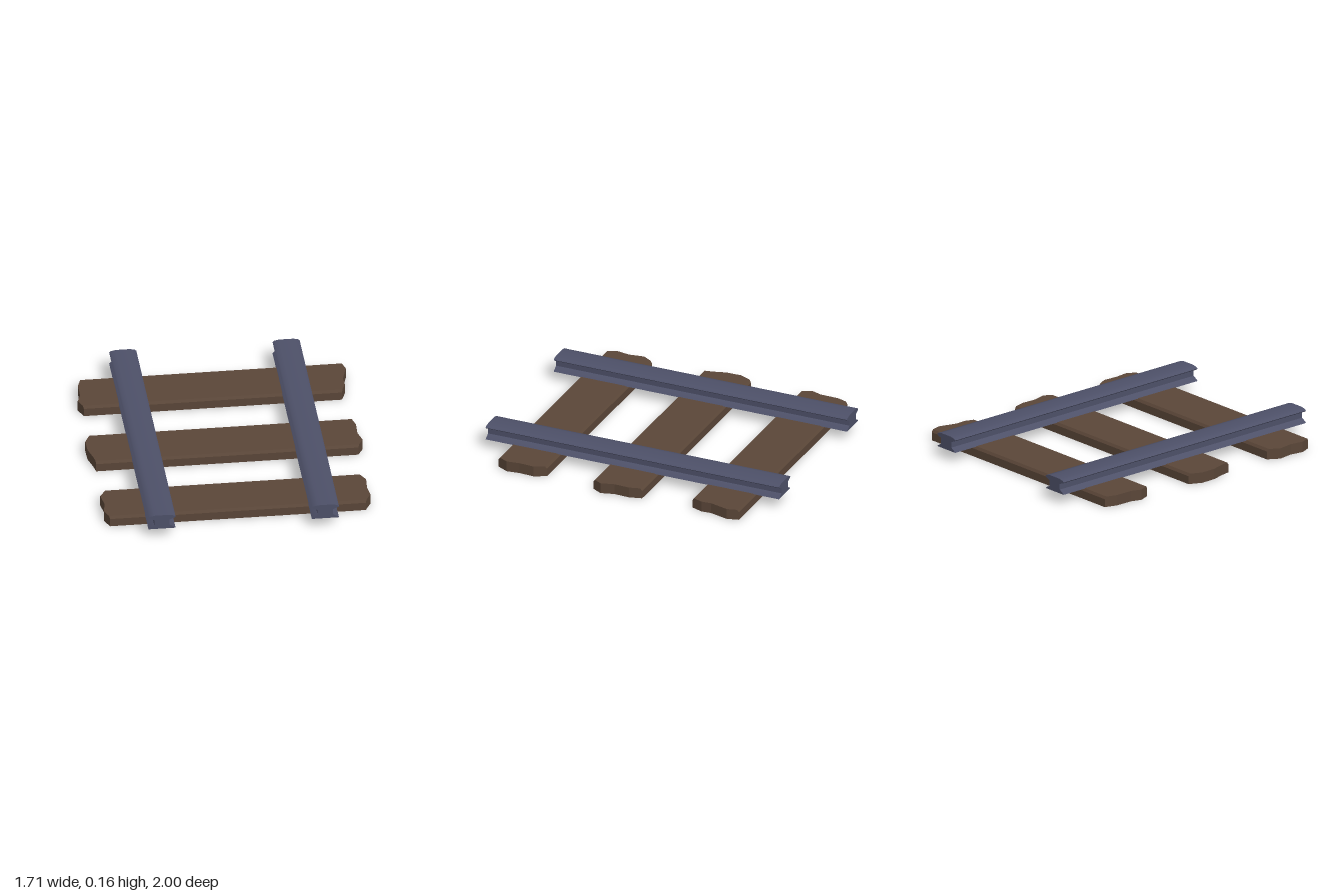
import * as THREE from 'three';
import { toCreasedNormals } from 'three/addons/utils/BufferGeometryUtils.js';

const steel = new THREE.MeshStandardMaterial({ color: 0x4d5068 });
const wood = new THREE.MeshStandardMaterial({ color: 0x5a4638, flatShading: true });

// Half of the rail section, from the foot up to the crown: [x, y]
const railHalf = [
  [0.085, 0.066], [0.075, 0.075], [0.048, 0.091], [0.048, 0.128],
  [0.078, 0.14], [0.085, 0.147], [0.074, 0.156], [0.045, 0.162],
];

function railGeometry() {
  const mirrored = railHalf.map(([x, y]) => [-x, y]).reverse();
  const outline = [...railHalf, ...mirrored].map(([x, y]) => new THREE.Vector2(x, y));
  const geo = new THREE.ExtrudeGeometry(new THREE.Shape(outline), { depth: 2, bevelEnabled: false });
  geo.translate(0, 0, -1);
  return toCreasedNormals(geo, 0.6);
}

// Plank lofted along z from stations [z, left end x, right end x];
// the top is chamfered along both long edges.
function sleeperGeometry(stations) {
  const top = 0.068, shoulder = 0.052, inset = 0.012;
  const inner = (a, b) => {
    const t = inset / Math.abs(b[0] - a[0]);
    return a.map((v, i) => v + (b[i] - v) * t);
  };
  const n = stations.length;
  const rows = [
    [...stations[0], shoulder],
    [...inner(stations[0], stations[1]), top],
    ...stations.slice(1, -1).map((s) => [...s, top]),
    [...inner(stations[n - 1], stations[n - 2]), top],
    [...stations[n - 1], shoulder],
  ];
  const positions = [], index = [];
  for (const [z, x0, x1, y] of rows) positions.push(x0, 0, z, x1, 0, z, x1, y, z, x0, y, z);
  for (let r = 0; r < rows.length - 1; r++) {
    for (let k = 0; k < 4; k++) {
      const a = r * 4 + k, b = r * 4 + (k + 1) % 4;
      index.push(a, b, b + 4, a, b + 4, a + 4);
    }
  }
  const e = (rows.length - 1) * 4;
  index.push(0, 2, 1, 0, 3, 2, e, e + 1, e + 2, e, e + 2, e + 3);
  const geo = new THREE.BufferGeometry();
  geo.setAttribute('position', new THREE.Float32BufferAttribute(positions, 3));
  geo.setIndex(index);
  const flat = geo.toNonIndexed();
  flat.computeVertexNormals();
  return flat;
}

// Ragged sleeper outlines
const sleepers = {
  backSleeper: [[-0.835, -0.795, 0.835], [-0.76, -0.82, 0.855], [-0.64, -0.822, 0.822], [-0.575, -0.845, 0.826], [-0.503, -0.815, 0.8]],
  middleSleeper: [[-0.166, -0.82, 0.815], [-0.085, -0.858, 0.836], [0.015, -0.856, 0.832], [0.1, -0.832, 0.855], [0.163, -0.82, 0.82]],
  frontSleeper: [[0.498, -0.8, 0.78], [0.572, -0.845, 0.818], [0.67, -0.83, 0.812], [0.755, -0.845, 0.822], [0.826, -0.815, 0.785]],
};

export function createModel() {
  const group = new THREE.Group();
  group.name = 'railwayTrack';

  for (const [name, stations] of Object.entries(sleepers)) {
    const mesh = new THREE.Mesh(sleeperGeometry(stations), wood);
    mesh.name = name;
    group.add(mesh);
  }

  const railGeo = railGeometry();
  for (const [name, x] of [['leftRail', 0.511], ['rightRail', -0.511]]) {
    const rail = new THREE.Mesh(railGeo, steel);
    rail.name = name;
    rail.position.x = x;
    group.add(rail);
  }
  return group;
}
